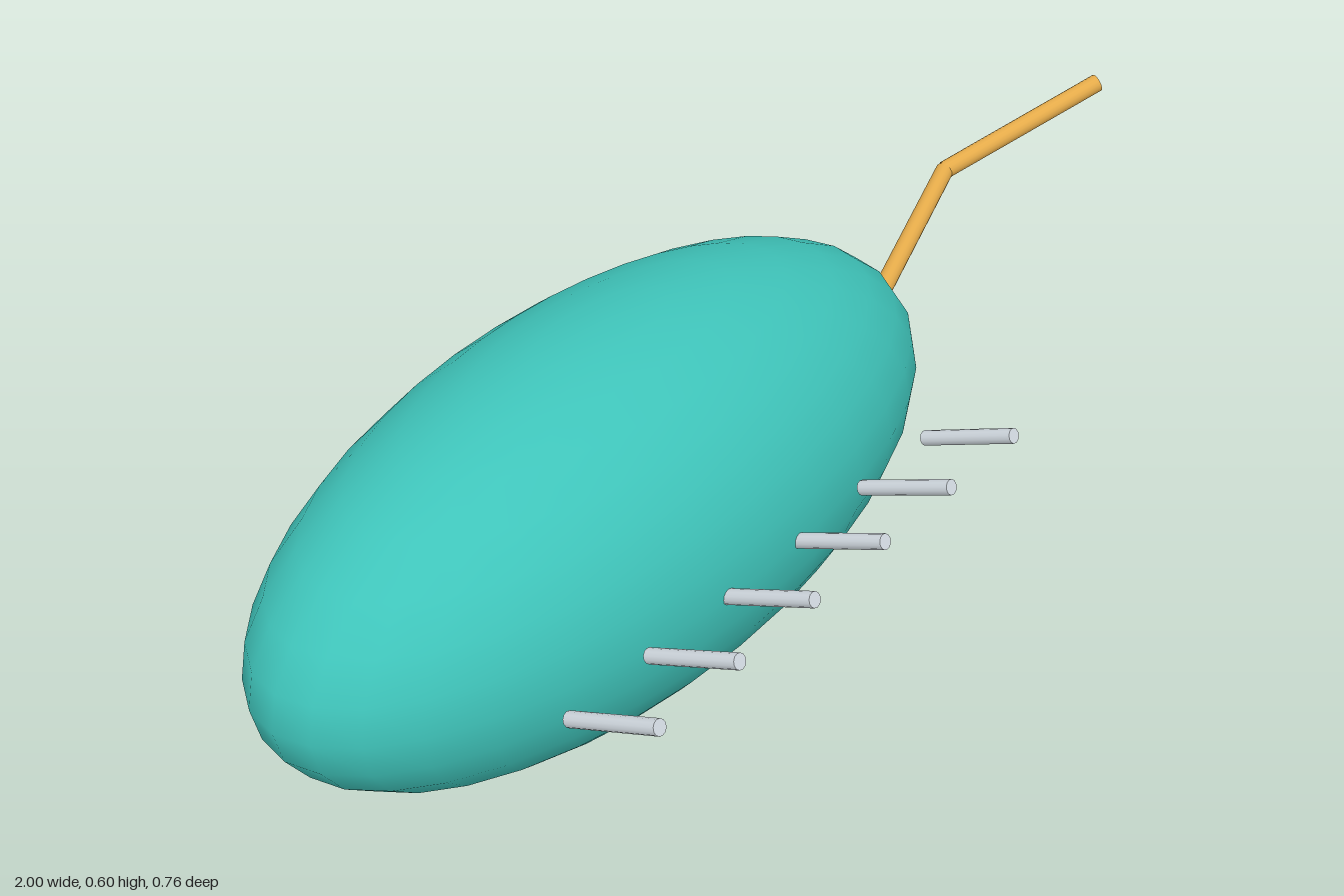
import * as THREE from 'three';

const UP = new THREE.Vector3(0, 1, 0);

// Straight round rod between two points
function rod(name, from, to, radius, sides, material) {
  const a = new THREE.Vector3(...from);
  const dir = new THREE.Vector3(...to).sub(a);
  const length = dir.length();
  const mesh = new THREE.Mesh(new THREE.CylinderGeometry(radius, radius, length, sides), material);
  mesh.position.copy(a).addScaledVector(dir, 0.5);
  mesh.quaternion.setFromUnitVectors(UP, dir.normalize());
  mesh.name = name;
  return mesh;
}

export function createModel() {
  const model = new THREE.Group();
  model.name = 'model';
  const teal = new THREE.MeshStandardMaterial({ color: 0x3fc4ba });
  const gold = new THREE.MeshStandardMaterial({ color: 0xe5ab4a });
  const silver = new THREE.MeshStandardMaterial({ color: 0xd3dbe2 });

  // Long ellipsoid body
  const body = new THREE.Mesh(new THREE.SphereGeometry(1, 32, 16), teal);
  body.name = 'body';
  body.scale.set(0.68, 0.302, 0.302);
  body.position.set(-0.32, 0.305, -0.076);
  model.add(body);

  // Row of pins sloping up and out from the front
  const pins = new THREE.Group();
  pins.name = 'pins';
  for (let i = 0; i < 6; i++) {
    const x = -0.735 + i * 0.166;
    pins.add(rod('pin', [x, 0.302, 0.214], [x, 0.374, 0.374], 0.012, 12, silver));
  }
  model.add(pins);

  // Bent two-part arm at the left end
  const arm = new THREE.Group();
  arm.name = 'arm';
  const root = [0.364, 0.305, -0.076];
  const elbow = [0.714, 0.374, -0.178];
  const tip = [0.993, 0.477, -0.042];
  arm.add(rod('innerArm', root, elbow, 0.016, 16, gold));
  arm.add(rod('outerArm', elbow, tip, 0.016, 16, gold));
  model.add(arm);

  return model;
}
